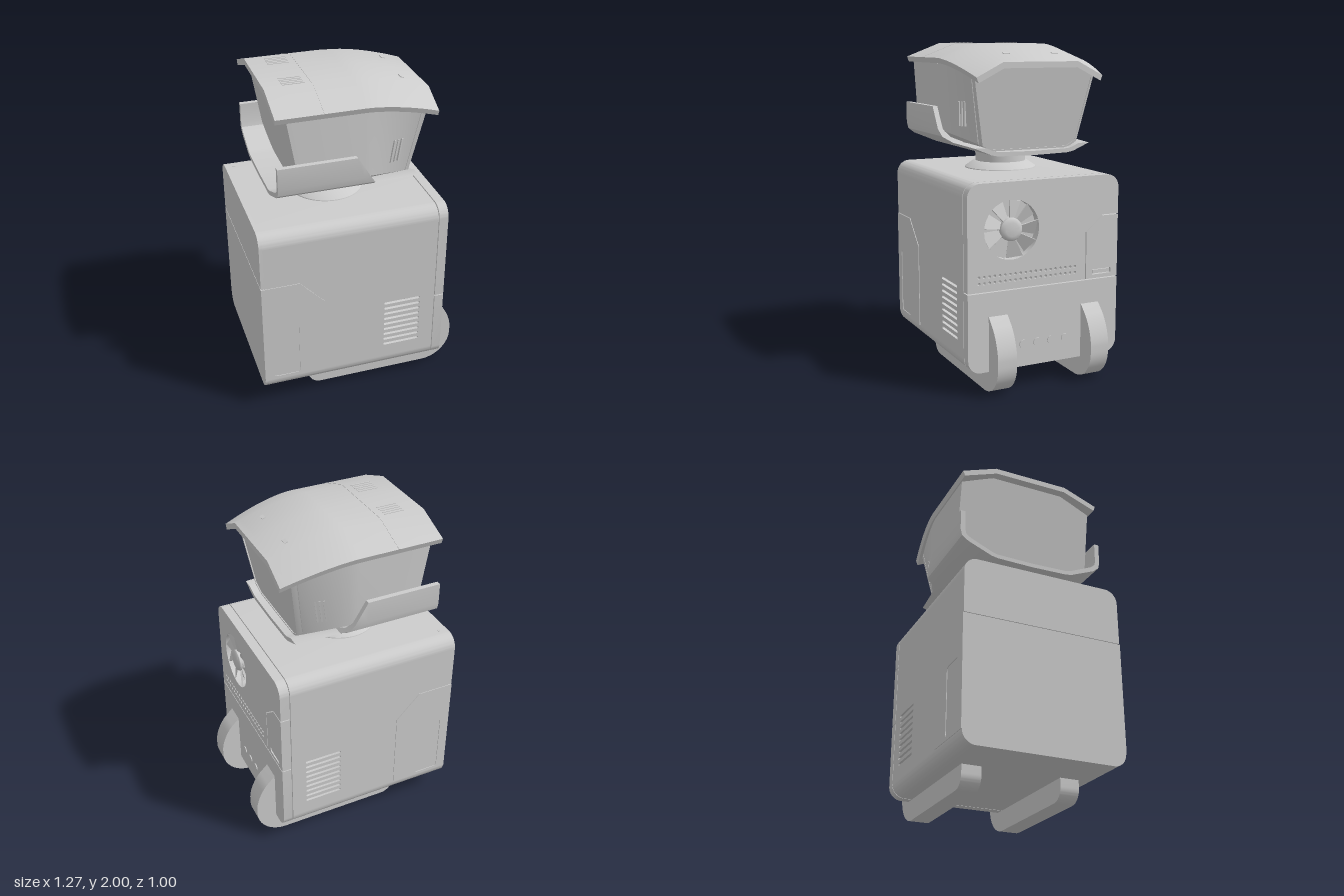
import * as THREE from 'three';
import { toCreasedNormals } from 'three/addons/utils/BufferGeometryUtils.js';

const grey = new THREE.MeshStandardMaterial({ color: 0xcccccc, side: THREE.DoubleSide });

function add(parent, name, geometry, x = 0, y = 0, z = 0) {
  const mesh = new THREE.Mesh(geometry, grey);
  mesh.name = name;
  mesh.position.set(x, y, z);
  parent.add(mesh);
  return mesh;
}

// Closed outline from [x, y, cornerRadius] points
function outline(points, Type = THREE.Shape) {
  const s = new Type(), n = points.length;
  const v = points.map(p => new THREE.Vector2(p[0], p[1]));
  points.forEach((p, i) => {
    const c = v[i], r = p[2] || 0;
    const a = v[(i + n - 1) % n].clone().sub(c).setLength(r).add(c);
    const b = v[(i + 1) % n].clone().sub(c).setLength(r).add(c);
    if (i) s.lineTo(a.x, a.y); else s.moveTo(a.x, a.y);
    if (r) {
      const ca = a.clone().lerp(c, 0.55), cb = b.clone().lerp(c, 0.55);
      s.bezierCurveTo(ca.x, ca.y, cb.x, cb.y, b.x, b.y);
    }
  });
  s.closePath();
  return s;
}
const rect = (x0, y0, x1, y1, r, Type) => outline([[x0, y0, r], [x1, y0, r], [x1, y1, r], [x0, y1, r]], Type);
const circle = (x, y, r) => new THREE.Path().absarc(x, y, r, 0, Math.PI * 2, true);

const extrude = (shape, depth) =>
  toCreasedNormals(new THREE.ExtrudeGeometry(shape, { depth, bevelEnabled: false, curveSegments: 16 }), 0.5);
// Extrude along +x; the shape's horizontal axis is -z
const extrudeX = (shape, x0, x1) => extrude(shape, x1 - x0).rotateY(Math.PI / 2).translate(x0, 0, 0);

// Mirrors a half section of [z, y] points, running from +z to -z
const mirror = half => [...half].reverse().concat(half.slice(1).map(([z, y]) => [-z, y]));

// Skin rings of [x, y, z], ordered from low to high x, with end caps
function loft(rings) {
  const n = rings[0].length, index = [];
  for (let i = 0; i < rings.length - 1; i++)
    for (let j = 0; j < n; j++) {
      const k = (j + 1) % n, a = i * n + j, b = i * n + k;
      index.push(a, b, b + n, a, b + n, a + n);
    }
  [0, rings.length - 1].forEach(i => {
    const flat = rings[i].map(p => new THREE.Vector2(-p[2], p[1]));
    THREE.ShapeUtils.triangulateShape(flat, []).forEach(f => {
      const t = i ? f : [f[2], f[1], f[0]];
      index.push(...t.map(q => q + i * n));
    });
  });
  const g = new THREE.BufferGeometry();
  g.setAttribute('position', new THREE.Float32BufferAttribute(rings.flat(2), 3));
  g.setIndex(index);
  return toCreasedNormals(g.toNonIndexed(), 0.5);
}

function buildBody(root) {
  const body = new THREE.Group();
  body.name = 'body';
  root.add(body);
  const W = 0.495, B = 0.13, T = 1.235, R = 0.08;

  // Hollow casing: slotted sides, rounded top and bottom
  [1, -1].forEach(s => {
    const side = rect(-0.62, B + R, 0.447, T - R, 0);
    for (let i = 0; i < 9; i++) side.holes.push(rect(0.122, 0.298 + i * 0.039, 0.355, 0.314 + i * 0.039, 0.006, THREE.Path));
    add(body, 'slottedSide', extrude(side, 0.02), 0, 0, s > 0 ? W - 0.02 : -W);

    const hatch = outline([[-0.64, B + R], [-0.26, B + R], [-0.26, 0.73], [-0.41, 0.885], [-0.64, 0.885]]);
    hatch.holes.push(rect(-0.58, 0.23, -0.42, 0.64, 0.02, THREE.Path));
    add(body, 'sideHatch', extrude(hatch, 0.004), 0, 0, s > 0 ? W : -W - 0.004);

    const cap = outline([[-W, T - R], [-W + 0.02, T - R], [-W + 0.02, T - 0.02, R - 0.02], [W - 0.02, T - 0.02, R - 0.02],
      [W - 0.02, T - R], [W, T - R], [W, T, R], [-W, T, R]]);
    const m = add(body, s > 0 ? 'casingTop' : 'casingBottom', extrudeX(cap, -0.62, 0.447));
    if (s < 0) { m.rotation.x = Math.PI; m.position.y = T + B; }
  });
  add(body, 'topPin', new THREE.CylinderGeometry(0.01, 0.01, 0.006, 16), -0.585, T, -0.385);

  // Back wall in two plates with a seam
  add(body, 'backInner', extrudeX(rect(-0.485, B + 0.01, 0.485, T - 0.01, R), -0.634, -0.61));
  add(body, 'backLower', extrudeX(outline([[-W, B, R], [W, B, R], [W, 0.882], [-W, 0.882]]), -0.64, -0.62));
  add(body, 'backUpper', extrudeX(outline([[-W, 0.888], [W, 0.888], [W, T, R], [-W, T, R]]), -0.64, -0.62));

  // Front panel in three plates
  add(body, 'frontInner', extrudeX(rect(-0.485, B + 0.01, 0.485, T - 0.01, R), 0.43, 0.456));
  add(body, 'frontLower', extrudeX(outline([[-W, B, R], [W, B, R], [W, 0.603], [-W, 0.603]]), 0.453, 0.51));
  const upper = outline([[-W, 0.609], [0.272, 0.609], [0.272, 0.9], [0.385, 0.995], [W, 0.995], [W, T, R], [-W, T, R]]);
  upper.holes.push(circle(-0.217, 0.957, 0.175));
  for (let i = 0; i < 20; i++) [0.66, 0.697].forEach(y => upper.holes.push(circle(-0.425 + i * 0.0329, y, 0.009)));
  add(body, 'frontUpper', extrudeX(upper, 0.453, 0.51));
  const hatch = outline([[0.278, 0.609], [W, 0.609], [W, 0.989], [0.388, 0.989], [0.278, 0.897]]);
  hatch.holes.push(rect(0.32, 0.632, 0.45, 0.664, 0.006, THREE.Path));
  add(body, 'cornerHatch', extrudeX(hatch, 0.453, 0.51));
  add(body, 'hatchHandle', new THREE.BoxGeometry(0.05, 0.022, 0.118), 0.48, 0.648, -0.385);
  for (let i = 0; i < 4; i++)
    add(body, 'button', new THREE.CylinderGeometry(0.025, 0.025, 0.02, 24).rotateZ(-Math.PI / 2), 0.506, 0.267, 0.143 - i * 0.0927);

  // Fan
  const fan = new THREE.Group();
  fan.name = 'fan';
  fan.position.set(0.482, 0.957, 0.217);
  fan.rotation.y = Math.PI / 2;
  body.add(fan);
  for (let i = 0; i < 9; i++) {
    const blade = outline([[0.055, -0.018], [0.168, -0.05], [0.168, 0.05], [0.055, 0.018]]);
    add(fan, 'fanBlade', extrude(blade, 0.006).rotateX(0.4).rotateZ(i * Math.PI * 2 / 9));
  }
  const hub = [[0.068, -0.03], [0.068, 0.022], [0.06, 0.03], [0.04, 0.035], [0, 0.036]].map(p => new THREE.Vector2(...p));
  add(fan, 'fanHub', toCreasedNormals(new THREE.LatheGeometry(hub, 32), 0.6).rotateX(Math.PI / 2));

  // Skid feet
  const foot = outline([[-0.33, 0.14], [-0.33, 0, 0.08], [0.635, 0, 0.19], [0.635, 0.335, 0.11], [0.505, 0.465], [0.505, 0.14]]);
  [0.245, -0.365].forEach(z => add(root, 'foot', extrude(foot, 0.12), 0, 0, z));
}

// Roof drop and side taper toward the face
const drop = x => 0.1 * Math.pow(Math.max(x, 0) / 0.45, 1.6);
const taper = x => 0.055 * Math.pow(Math.max(x, 0) / 0.45, 1.5);

function buildHead(root) {
  const head = new THREE.Group();
  head.name = 'head';
  root.add(head);

  // Roof shell
  const roof = (x, lift = 0) => {
    const d = drop(x) - lift, w = 0.46 - taper(x);
    const outer = [[0, 2 - d], [0.24, 2 - d], [w, 1.917 - d]];
    const inner = [[0, 1.965 - d], [0.235, 1.965 - d], [w - 0.012, 1.885 - d]];
    return [...mirror(outer).reverse(), ...mirror(inner)].map(([z, y]) => [x, y, z]);
  };
  const xs = [-0.51];
  for (let i = 0; i <= 12; i++) xs.push(i * 0.0375);
  add(head, 'roof', loft(xs.map(x => roof(x))));
  add(head, 'roofSeam', loft([roof(-0.238, 0.002), roof(-0.232, 0.002)]));
  [-1, 1].forEach(s => {
    for (let i = 0; i < 5; i++) add(head, 'roofVent', new THREE.BoxGeometry(0.125, 0.006, 0.008), -0.338, 2, s * (0.112 + i * 0.023));
    add(head, 'roofTab', new THREE.BoxGeometry(0.022, 0.008, 0.04), 0.31, 2 - drop(0.31), s * 0.158).rotation.z = -0.29;
  });

  // Head shell; stations are [x, inset scale], leaning with height
  const section = ([x, scale]) => {
    const t = Math.pow(Math.max(x, 0) / 0.345, 1.3), mix = (a, b) => a + (b - a) * t;
    const lean = -0.17 + 0.33 * (x + 0.395) / 0.74, d = drop(x + 0.04);
    const bottom = [[0, 1.385], [mix(0.28, 0.25), 1.385], [mix(0.44, 0.31), mix(1.49, 1.42)]];
    const top = [[0, 1.966 - d], [0.235, 1.966 - d], [mix(0.44, 0.385), 1.886 - d]];
    return [...mirror(bottom), ...mirror(top).reverse()].map(([z, y]) => {
      const v = 1.65 + (y - 1.65) * scale;
      return [x + lean * (v - 1.6), v, z * scale];
    });
  };
  const stations = [-0.395, 0, 0.05, 0.1, 0.15, 0.2, 0.25, 0.312].map(x => [x, 1]);
  stations.push([0.312, 0.985], [0.318, 0.985], [0.318, 1], [0.345, 1], [0.345, 0.965], [0.338, 0.965]);
  add(head, 'headShell', loft(stations.map(section)));

  // Slanted side vents
  [1, -1].forEach(s => {
    for (let i = -1; i <= 1; i++) {
      const vent = add(head, 'sideVent', new THREE.BoxGeometry(0.01, 0.145, 0.014), 0.205 + i * 0.024, 1.6, s * (0.389 - i * 0.007));
      vent.rotation.set(s * 0.092, s * 0.28, -0.14);
    }
  });

  // Cradle: a bent tray whose sides are cut lower toward the face
  const outer = [[0, 1.355], [0.23, 1.36], [0.27, 1.368], [0.42, 1.43], [0.46, 1.46], [0.47, 1.5], [0.47, 1.63]];
  const inner = [[0, 1.38], [0.23, 1.385], [0.262, 1.393], [0.405, 1.455], [0.433, 1.477], [0.44, 1.505], [0.44, 1.63]];
  const clip = (half, h) => half.map(([z, y], i) => {
    if (y <= h) return [z, y];
    const k = half.findIndex(p => p[1] > h), a = half[k - 1], b = half[k];
    return [a[0] + (b[0] - a[0]) * (h - a[1]) / (b[1] - a[1]), h];
  });
  const cuts = [[-0.51, 1.63], [-0.05, 1.63], [-0.01, 1.565], [0.03, 1.5], [0.06, 1.455], [0.085, 1.42], [0.355, 1.412]];
  add(head, 'cradle', loft(cuts.map(([x, h]) =>
    [...mirror(clip(outer, h)), ...mirror(clip(inner, h)).reverse()].map(([z, y]) => [x, y, z]))));
}

export function createModel() {
  const root = new THREE.Group();
  root.name = 'robot';
  buildBody(root);

  // Neck with flared collar
  const neck = [[0.225, 1.23], [0.222, 1.24], [0.172, 1.275], [0.157, 1.278], [0.157, 1.375]].map(p => new THREE.Vector2(...p));
  add(root, 'neck', toCreasedNormals(new THREE.LatheGeometry(neck, 48), 0.5), -0.097, 0, 0);

  buildHead(root);
  return root;
}
